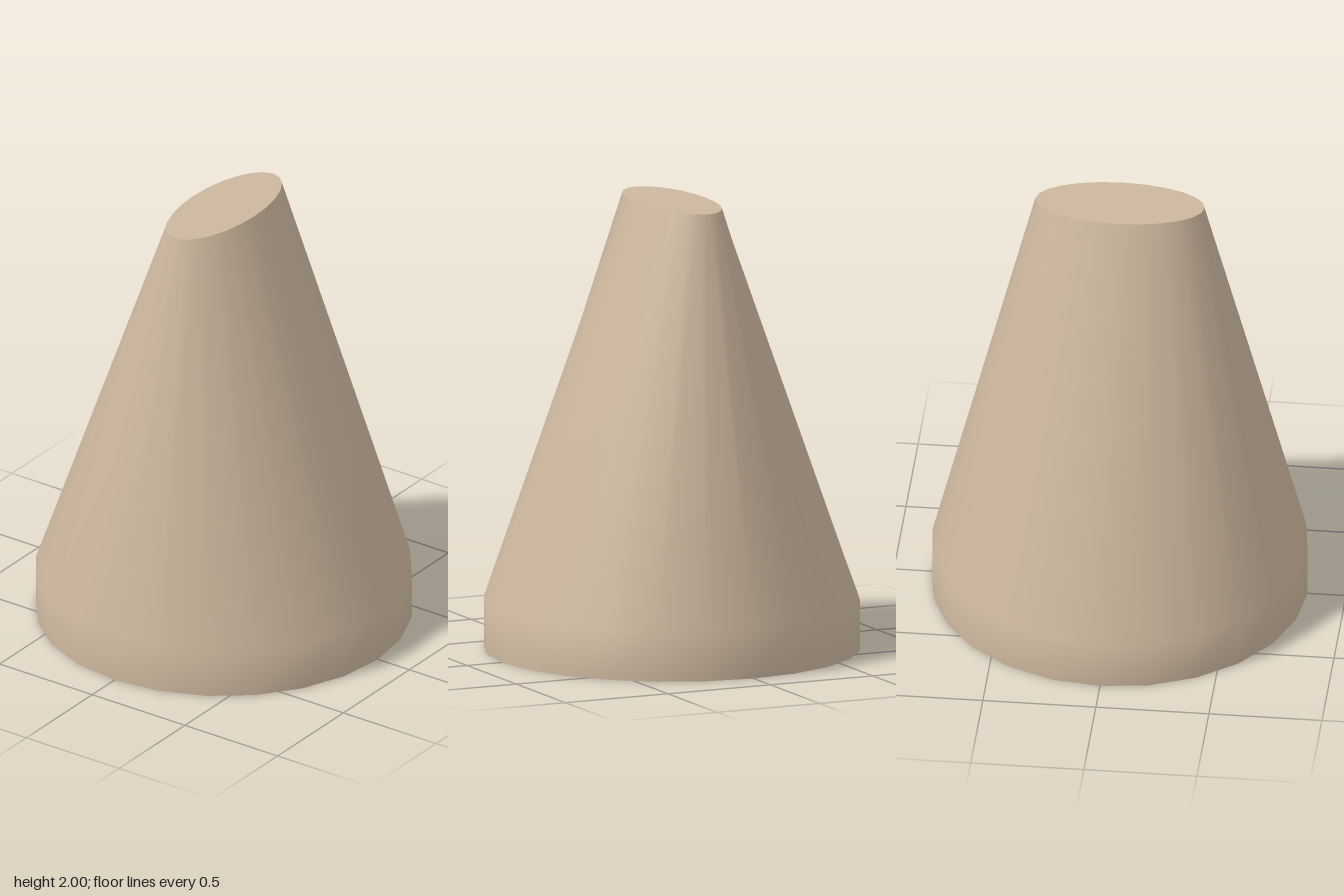
import * as THREE from 'three';
import { mergeVertices } from 'three/addons/utils/BufferGeometryUtils.js';

// Cross-sections from bottom to top: height, x radius, z radius
const sections = [
  { y: 0, rx: 0.83, rz: 0.83 },
  { y: 0.22, rx: 0.83, rz: 0.83 },
  { y: 2, rx: 0.165, rz: 0.375 },
];

// Round upright base that lofts into a narrow elliptical top, capped at both ends
function loftedBody() {
  let geometry = new THREE.CylinderGeometry(1, 1, 2, 24, 2);
  geometry.deleteAttribute('uv');
  geometry = mergeVertices(geometry); // closes the side seam, keeps cap edges sharp
  const p = geometry.attributes.position;
  for (let i = 0; i < p.count; i++) {
    const s = sections[Math.round(p.getY(i)) + 1];
    p.setXYZ(i, p.getX(i) * s.rx, s.y, p.getZ(i) * s.rz);
  }
  geometry.computeVertexNormals();
  return geometry;
}

export function createModel() {
  const group = new THREE.Group();
  group.name = 'taperedCone';
  const body = new THREE.Mesh(
    loftedBody(),
    new THREE.MeshStandardMaterial({ color: 0xcdb79e })
  );
  body.name = 'body';
  group.add(body);
  return group;
}
